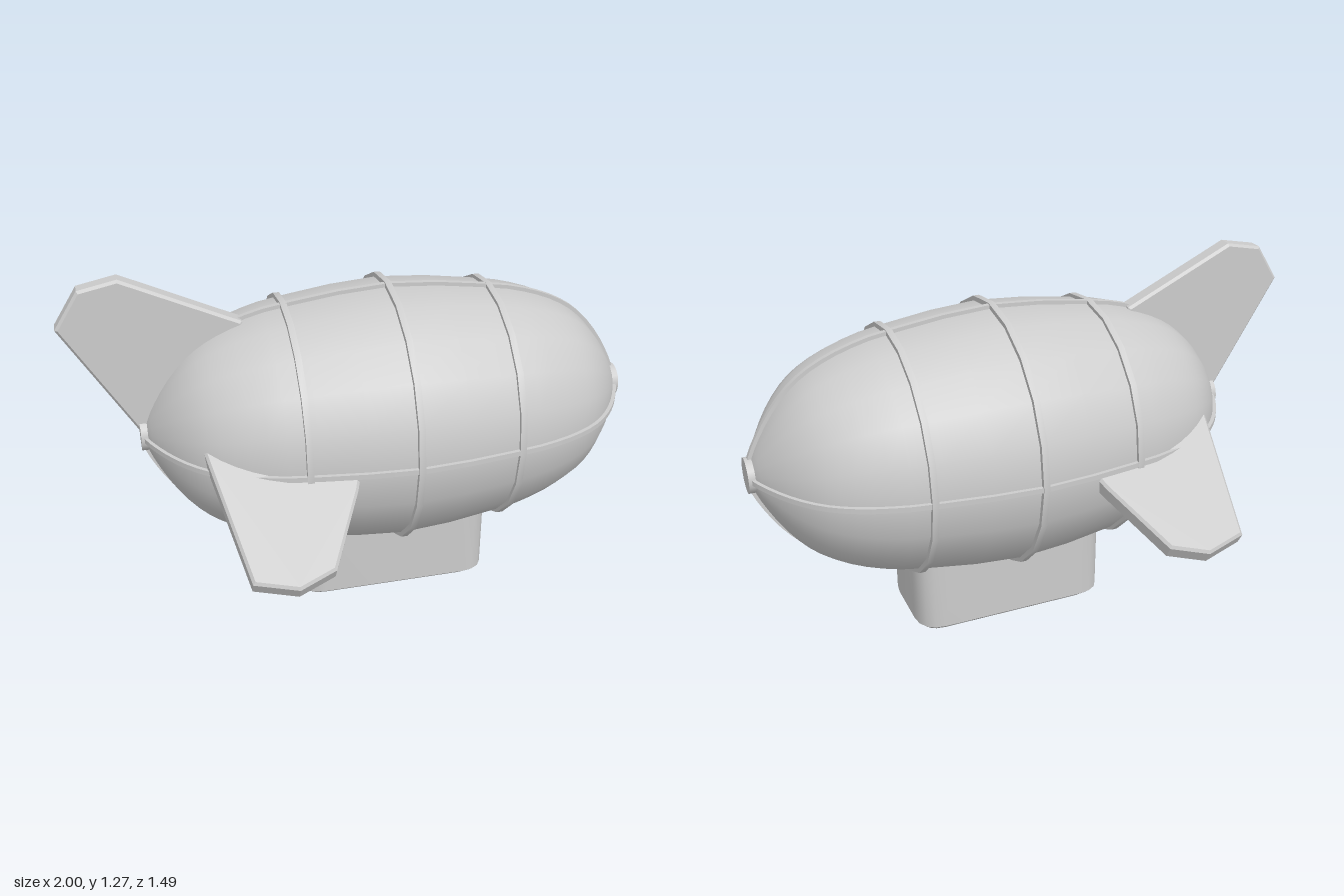
import * as THREE from 'three';
import { toCreasedNormals } from 'three/addons/utils/BufferGeometryUtils.js';

const MID_X = 0.12, AXIS_Y = 0.684, SIDES = 20, STEPS = 36;

// Hull half profile as [distance from mid, radius], mirrored into a full curve from tail to nose
const half = [[0.365, 0.426], [0.52, 0.39], [0.63, 0.343], [0.71, 0.285],
  [0.78, 0.203], [0.835, 0.11], [0.862, 0.045], [0.868, 0]];
const profile = new THREE.SplineCurve([
  ...half.map(([x, r]) => new THREE.Vector2(-x, r)).reverse(),
  new THREE.Vector2(0, 0.464),
  ...half.map(([x, r]) => new THREE.Vector2(x, r)),
]);

// Profile points pushed outwards along the curve's normal
function offsetProfile(d) {
  const pts = [];
  for (let i = 0; i <= STEPS; i++) {
    const p = profile.getPoint(i / STEPS), t = profile.getTangent(i / STEPS);
    pts.push(new THREE.Vector2(p.x - t.y * d, Math.max(0, p.y + t.x * d)));
  }
  pts[0].y = pts[STEPS].y = 0;
  return pts;
}

export function createModel() {
  const model = new THREE.Group();
  const material = new THREE.MeshStandardMaterial({ color: 0xcccccc });
  const add = (parent, name, geometry) => {
    const mesh = new THREE.Mesh(geometry, material);
    mesh.name = name;
    parent.add(mesh);
    return mesh;
  };
  // Revolve [radius, x] points around the long axis
  const revolve = (pts) => new THREE.LatheGeometry(pts, SIDES).rotateZ(-Math.PI / 2);

  const envelope = new THREE.Group();
  envelope.name = 'envelope';
  envelope.position.set(MID_X, AXIS_Y, 0);
  model.add(envelope);

  add(envelope, 'hull', revolve(offsetProfile(0).map((p) => new THREE.Vector2(p.y, p.x))));

  // Hoops around the hull
  for (const [x, r] of [[-0.365, 0.44], [0, 0.48], [0.365, 0.44]]) {
    const w = 0.011;
    const section = [[r - 0.04, -w], [r, -w], [r, w], [r - 0.04, w]]
      .map(([a, b]) => new THREE.Vector2(a, x + b));
    add(envelope, 'hoop', toCreasedNormals(revolve(section), 0.5));
  }

  // Lengthwise bands: closed loops following the hull, one upright and one level
  const loop = (d) => {
    const top = offsetProfile(d);
    const bottom = top.slice(1, -1).reverse().map((p) => new THREE.Vector2(p.x, -p.y));
    return [...top, ...bottom];
  };
  const bandShape = new THREE.Shape(loop(0.012));
  bandShape.holes.push(new THREE.Path(loop(-0.015)));
  const bandGeometry = toCreasedNormals(
    new THREE.ExtrudeGeometry(bandShape, { depth: 0.018, bevelEnabled: false }).translate(0, 0, -0.009), 0.5);
  add(envelope, 'uprightBand', bandGeometry);
  add(envelope, 'levelBand', bandGeometry).rotation.x = Math.PI / 2;

  // Discs where the bands meet at the nose and tail
  for (const [name, side] of [['noseCap', 1], ['tailCap', -1]]) {
    const cap = new THREE.CylinderGeometry(0.062, 0.062, 0.04, SIDES).rotateZ(Math.PI / 2);
    add(envelope, name, cap).position.x = side * 0.86;
  }

  // Flat fins with a small chamfer, drawn in x and height
  const fin = (pts) => toCreasedNormals(new THREE.ExtrudeGeometry(
    new THREE.Shape(pts.map(([x, y]) => new THREE.Vector2(x, y))),
    { depth: 0.046, bevelThickness: 0.009, bevelSize: 0.009, bevelOffset: -0.009, bevelSegments: 1 },
  ).translate(0, 0, -0.023), 0.4);

  add(model, 'topFin', fin([[-0.785, 1.267], [-0.917, 1.24], [-1, 1.11], [-0.757, 0.7],
    [-0.6, 0.68], [-0.33, 0.9], [-0.39, 1.08]]));

  const sideFin = fin([[-0.345, 0.845], [-0.487, 0.805], [-0.565, 0.36], [-0.59, 0.2],
    [-0.05, 0.4], [-0.096, 0.53], [-0.22, 0.795]]);
  for (const [name, side] of [['frontFin', 1], ['backFin', -1]]) {
    const mesh = add(model, name, sideFin);
    mesh.position.y = 0.885;
    mesh.rotation.x = side * Math.PI * 2 / 3;
  }

  // Gondola: rounded plan raised upwards, chamfered underneath, top buried in the hull
  const hx = 0.358, hz = 0.185, c = 0.095;
  const plan = new THREE.Shape();
  plan.moveTo(-hx + c, -hz);
  plan.lineTo(hx - c, -hz);
  plan.quadraticCurveTo(hx, -hz, hx, -hz + c);
  plan.lineTo(hx, hz - c);
  plan.quadraticCurveTo(hx, hz, hx - c, hz);
  plan.lineTo(-hx + c, hz);
  plan.quadraticCurveTo(-hx, hz, -hx, hz - c);
  plan.lineTo(-hx, -hz + c);
  plan.quadraticCurveTo(-hx, -hz, -hx + c, -hz);
  const gondola = new THREE.ExtrudeGeometry(plan, {
    depth: 0.33, curveSegments: 4, bevelThickness: 0.026, bevelSize: 0.03, bevelOffset: -0.03, bevelSegments: 1,
  }).rotateX(-Math.PI / 2).translate(0.115, 0.026, 0);
  add(model, 'gondola', toCreasedNormals(gondola, 0.6));

  return model;
}
